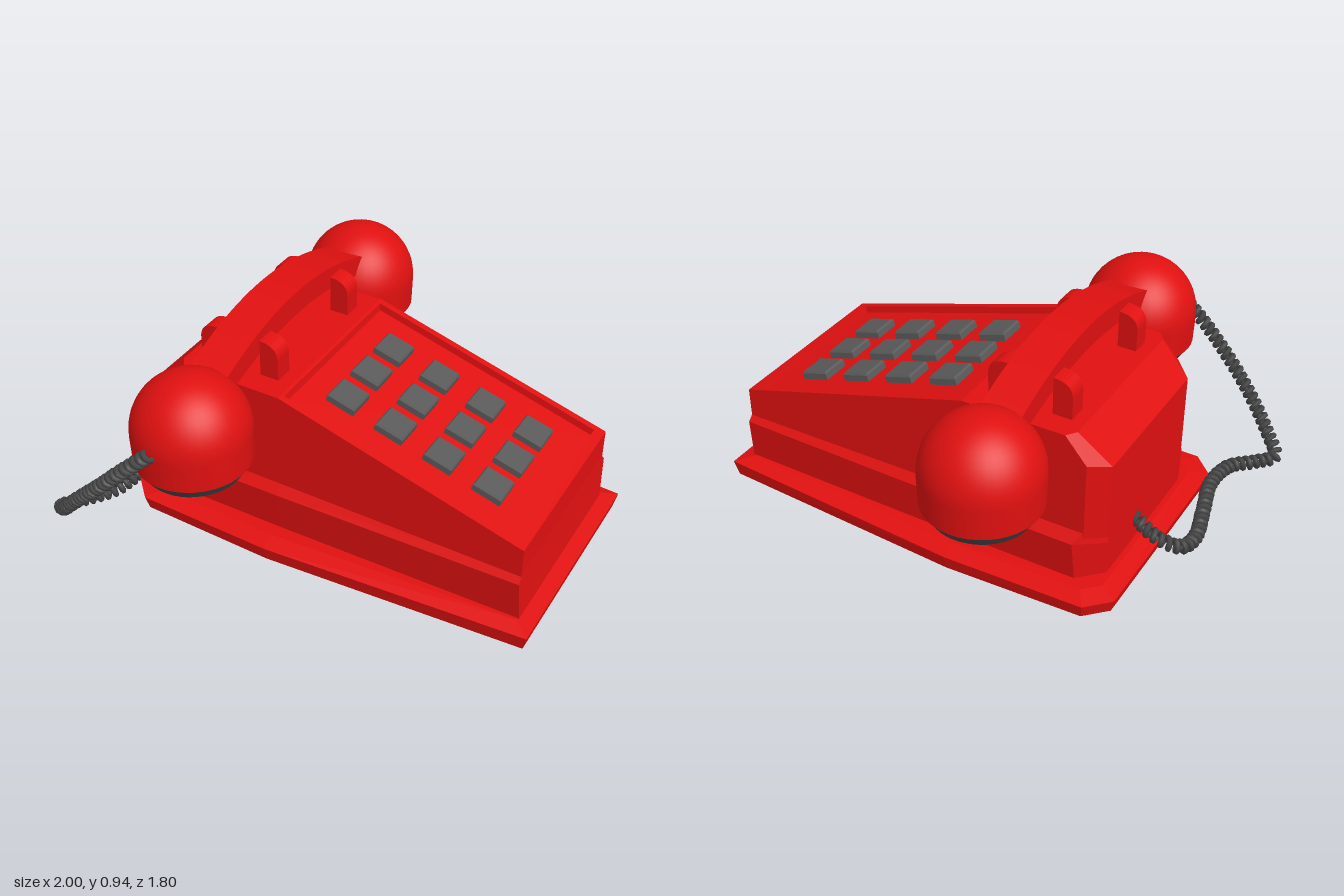
import * as THREE from 'three';

const CZ = -0.025; // the body's middle plane
const mat = (color, side = THREE.FrontSide) => new THREE.MeshStandardMaterial({ color, side });
const red = mat(0xe01010), dark = mat(0x444444), keyGrey = mat(0x5a5a5a);

// Flat-faced skin through rings of equal point count, with optional end caps.
function loft(rings, capStart, capEnd) {
  const pos = [];
  const tri = (...pts) => pts.forEach((p) => pos.push(...p));
  const n = rings[0].length;
  for (let r = 0; r + 1 < rings.length; r++) {
    const a = rings[r], b = rings[r + 1];
    for (let i = 0; i < n; i++) {
      const j = (i + 1) % n;
      tri(a[i], a[j], b[j]);
      tri(a[i], b[j], b[i]);
    }
  }
  const last = rings[rings.length - 1];
  for (let i = 1; i + 1 < n; i++) {
    if (capStart) tri(rings[0][0], rings[0][i + 1], rings[0][i]);
    if (capEnd) tri(last[0], last[i], last[i + 1]);
  }
  const g = new THREE.BufferGeometry();
  g.setAttribute('position', new THREE.Float32BufferAttribute(pos, 3));
  g.computeVertexNormals();
  return g;
}

// Ring mirrored about the middle plane from [x, y, halfWidth] points, back to front.
const ring = (half) => [
  ...half.map(([x, y, w]) => [x, y, CZ + w]),
  ...half.slice().reverse().map(([x, y, w]) => [x, y, CZ - w]),
];

export function createModel() {
  const model = new THREE.Group();
  const add = (name, geometry, material, parent = model) => {
    const m = new THREE.Mesh(geometry, material);
    m.name = name;
    parent.add(m);
    return m;
  };

  // Base plate: recessed underside, flared rim, top sloping up to the body
  const plate = (d, yBack, yFront) => ring([
    [-0.78 + d, yBack, 0.445 - d * 0.6], [-0.69 + d * 0.6, yBack, 0.535 - d],
    [-0.1, (yBack + yFront) / 2, 0.548 - d], [1 - d, yFront, 0.475 - d * 0.8],
  ]);
  add('basePlate', loft([
    plate(0.09, 0.06, 0.05), plate(0.09, 0.03, 0.005), plate(0.015, 0.025, 0.002),
    plate(0, 0.085, 0.07), plate(0.07, 0.1, 0.09), plate(0.12, 0.1, 0.09),
  ], true, true), red);

  // Feet
  for (const x of [-0.52, 0.76]) for (const s of [-1, 1]) {
    add('foot', new THREE.CylinderGeometry(0.04, 0.036, 0.06, 20), dark)
      .position.set(x, 0.03, CZ + s * 0.33);
  }

  // Lower body with a bevelled ledge
  const lower = (xb, xf, w, y, c, yb = y) => ring([
    [xb, yb, w - c], [xb + c, y, w], [-0.1, y, w], [xf, y, w - 0.012],
  ]);
  add('lowerBody', loft([
    lower(-0.69, 0.94, 0.42, 0.08, 0.09), lower(-0.69, 0.932, 0.436, 0.27, 0.1, 0.25),
    lower(-0.685, 0.93, 0.4, 0.31, 0.07, 0.29),
  ], false, true), red);

  // Upper body walls
  const rim = [[-0.56, 0.725, 0.36], [-0.53, 0.725, 0.4], [-0.1, 0.725, 0.403], [0.93, 0.42, 0.403]];
  add('upperBody', loft([
    ring([[-0.69, 0.25, 0.33], [-0.62, 0.25, 0.4], [-0.1, 0.25, 0.403], [0.93, 0.25, 0.403]]),
    ring([[-0.69, 0.6, 0.33], [-0.62, 0.62, 0.4], [-0.1, 0.68, 0.403], [0.93, 0.39, 0.403]]),
    ring(rim),
  ]), red);
  add('backTop', loft([ring(rim.slice(0, 3))], false, true), red);

  // Sloped top with sunken key panel
  const slopeY = (x) => 0.725 - (x + 0.1) * 0.305 / 1.03;
  const tilt = Math.atan2(0.305, 1.03);
  const panel = (x0, x1, w, drop) => ring([[x0, slopeY(x0) - drop, w], [x1, slopeY(x1) - drop, w]]);
  add('keyPanel', loft([
    panel(-0.1, 0.93, 0.403, 0), panel(-0.088, 0.89, 0.375, 0),
    panel(-0.085, 0.883, 0.372, 0.03),
  ], false, true), red);

  // Keys: tapered blocks in four columns and three rows
  const w = 0.062, t = 0.056;
  const square = (h, y) => [[-h, y, h], [h, y, h], [h, y, -h], [-h, y, -h]];
  const keyShape = loft([square(w, -0.02), square(w, 0.012), square(t, 0.02)], false, true);
  for (const x of [0.08, 0.288, 0.496, 0.704]) for (const dz of [-0.185, 0, 0.185]) {
    const key = add('key', keyShape, keyGrey);
    key.position.set(x, slopeY(x) - 0.015, CZ + dz);
    key.rotation.z = -tilt;
  }

  // Cradle: two pairs of prongs with rounded outer shoulders
  const HX = -0.333;
  for (const z of [CZ - 0.265, CZ + 0.265]) for (const s of [-1, 1]) {
    const sh = new THREE.Shape();
    sh.moveTo(s * 0.095, 0.7);
    sh.lineTo(s * 0.175, 0.7);
    sh.lineTo(s * 0.175, 0.82);
    sh.quadraticCurveTo(s * 0.17, 0.88, s * 0.095, 0.88);
    add('cradleProng', new THREE.ExtrudeGeometry(sh, { depth: 0.08, bevelEnabled: false, curveSegments: 8 }), red)
      .position.set(HX, 0, z - 0.04);
  }

  // Handset: arched grip
  const handset = new THREE.Group();
  handset.name = 'handset';
  model.add(handset);
  const arch = new THREE.Shape();
  arch.moveTo(-0.52, 0.74);
  arch.quadraticCurveTo(0, 0.93, 0.52, 0.74);
  arch.lineTo(0.52, 0.825);
  arch.quadraticCurveTo(0, 1.045, -0.52, 0.825);
  const grip = new THREE.ExtrudeGeometry(arch, { depth: 0.166, bevelEnabled: false, curveSegments: 24 });
  grip.rotateY(-Math.PI / 2).translate(HX + 0.083, 0, CZ);
  add('handsetGrip', grip, red, handset);

  // Handset: domed ends with dark caps
  const v = (x, y) => new THREE.Vector2(x, y);
  const dome = [v(0.229, 0.53), v(0.233, 0.65)];
  for (let i = 1; i <= 14; i++) {
    const a = (i / 14) * Math.PI / 2;
    dome.push(v(0.233 * Math.cos(a), 0.655 + 0.235 * Math.sin(a)));
  }
  const cap = [v(0, 0.495), v(0.14, 0.495), v(0.145, 0.482), v(0.195, 0.48), v(0.226, 0.53), v(0.226, 0.54)];
  for (const s of [-1, 1]) {
    const z = CZ - 0.002 + s * 0.64;
    add('handsetDome', new THREE.LatheGeometry(dome, 40), red, handset).position.set(HX, 0, z);
    const c = new THREE.LatheGeometry(cap, 40).toNonIndexed();
    c.computeVertexNormals();
    add('handsetCap', c, dark, handset).position.set(HX, 0, z);
  }

  // Coiled cord: a helix wound round a smooth path
  const path = new THREE.CatmullRomCurve3([
    [-0.35, 0.68, 0.84], [-0.47, 0.57, 0.865], [-0.6, 0.44, 0.865], [-0.76, 0.28, 0.83],
    [-0.9, 0.13, 0.765], [-0.965, 0.07, 0.7], [-0.91, 0.07, 0.62], [-0.83, 0.08, 0.52],
    [-0.81, 0.085, 0.37], [-0.85, 0.08, 0.2], [-0.89, 0.08, 0.02], [-0.87, 0.1, -0.08],
    [-0.79, 0.14, -0.12], [-0.68, 0.19, -0.105],
  ].map((p) => new THREE.Vector3(...p)));
  const turns = 62, steps = turns * 10;
  const frames = path.computeFrenetFrames(steps, false);
  const coil = [];
  for (let i = 0; i <= steps; i++) {
    const a = (i / 10) * Math.PI * 2;
    coil.push(path.getPointAt(i / steps)
      .addScaledVector(frames.normals[i], 0.021 * Math.cos(a))
      .addScaledVector(frames.binormals[i], 0.021 * Math.sin(a)));
  }
  add('coiledCord', new THREE.TubeGeometry(new THREE.CatmullRomCurve3(coil), steps, 0.012, 6), dark);

  return model;
}
